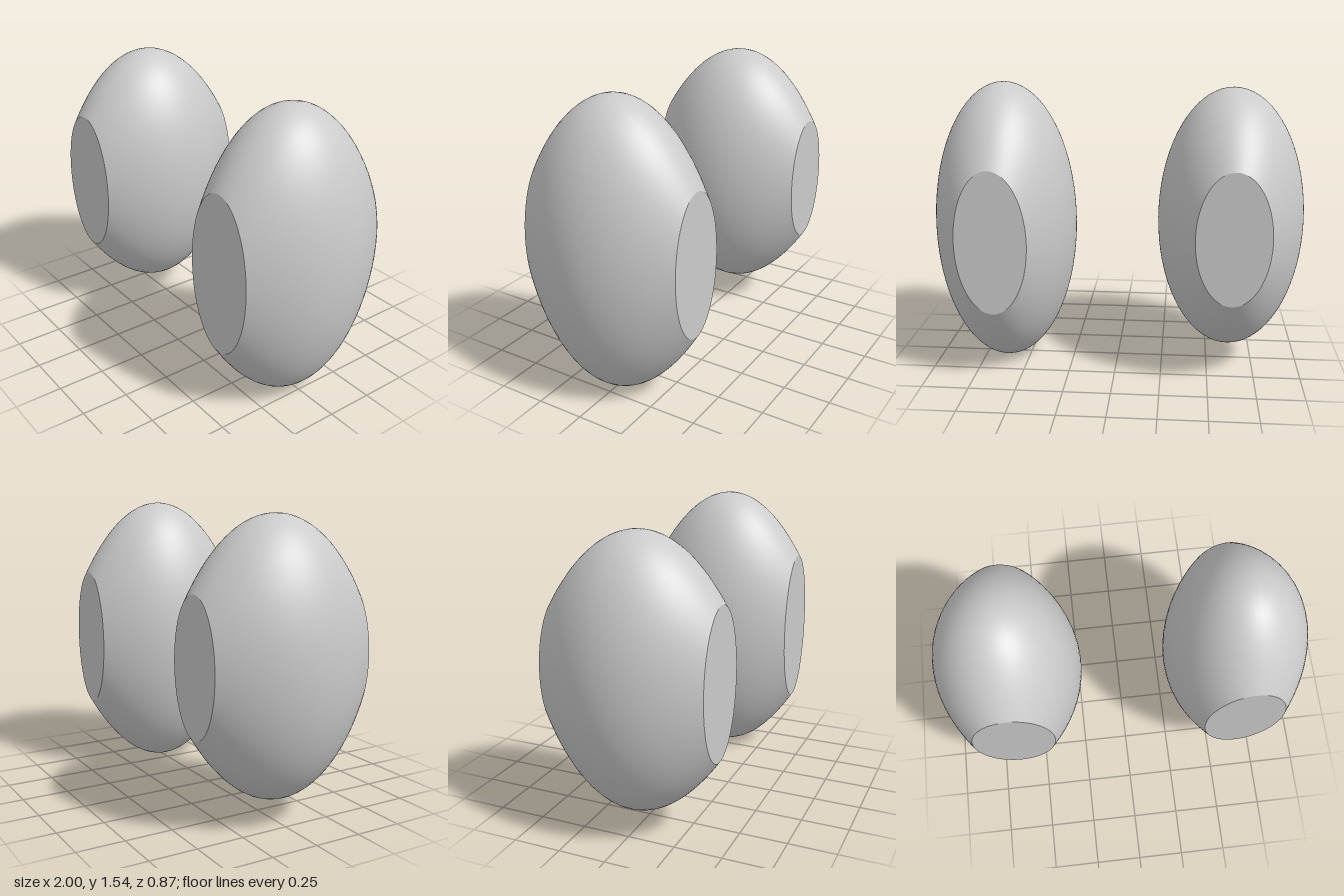
import * as THREE from 'three';

const BACK = -0.437, FRONT = 0.43;
const material = new THREE.MeshStandardMaterial({ color: 0xcccccc });

// Relative radius of the cross-section at depth z
const bulge = (z) => 1 - 2.55 * (z - 0.01) ** 2;

// Egg-shaped pod, cut flat at the front and back
function makePod(name, x, y, rx, ry) {
  const pod = new THREE.Group();
  pod.name = name;
  pod.position.set(x, y, 0);

  const add = (part, geometry) => {
    const mesh = new THREE.Mesh(geometry.scale(rx, ry, 1), material);
    mesh.name = part;
    pod.add(mesh);
  };

  // Curved shell, turned around the depth axis
  const profile = [];
  for (let i = 0; i <= 40; i++) {
    const z = BACK + (FRONT - BACK) * i / 40;
    profile.push(new THREE.Vector2(bulge(z), z));
  }
  add('shell', new THREE.LatheGeometry(profile, 72).rotateX(Math.PI / 2));

  // Flat oval ends
  add('frontFace', new THREE.CircleGeometry(bulge(FRONT), 72).translate(0, 0, FRONT));
  add('backFace', new THREE.CircleGeometry(bulge(BACK), 72).rotateY(Math.PI).translate(0, 0, BACK));
  return pod;
}

export function createModel() {
  const model = new THREE.Group();
  model.name = 'podPair';
  model.add(
    makePod('leftPod', 0.617, 0.772, 0.383, 0.772),
    makePod('rightPod', -0.61, 0.818, 0.39, 0.707),
  );
  return model;
}
